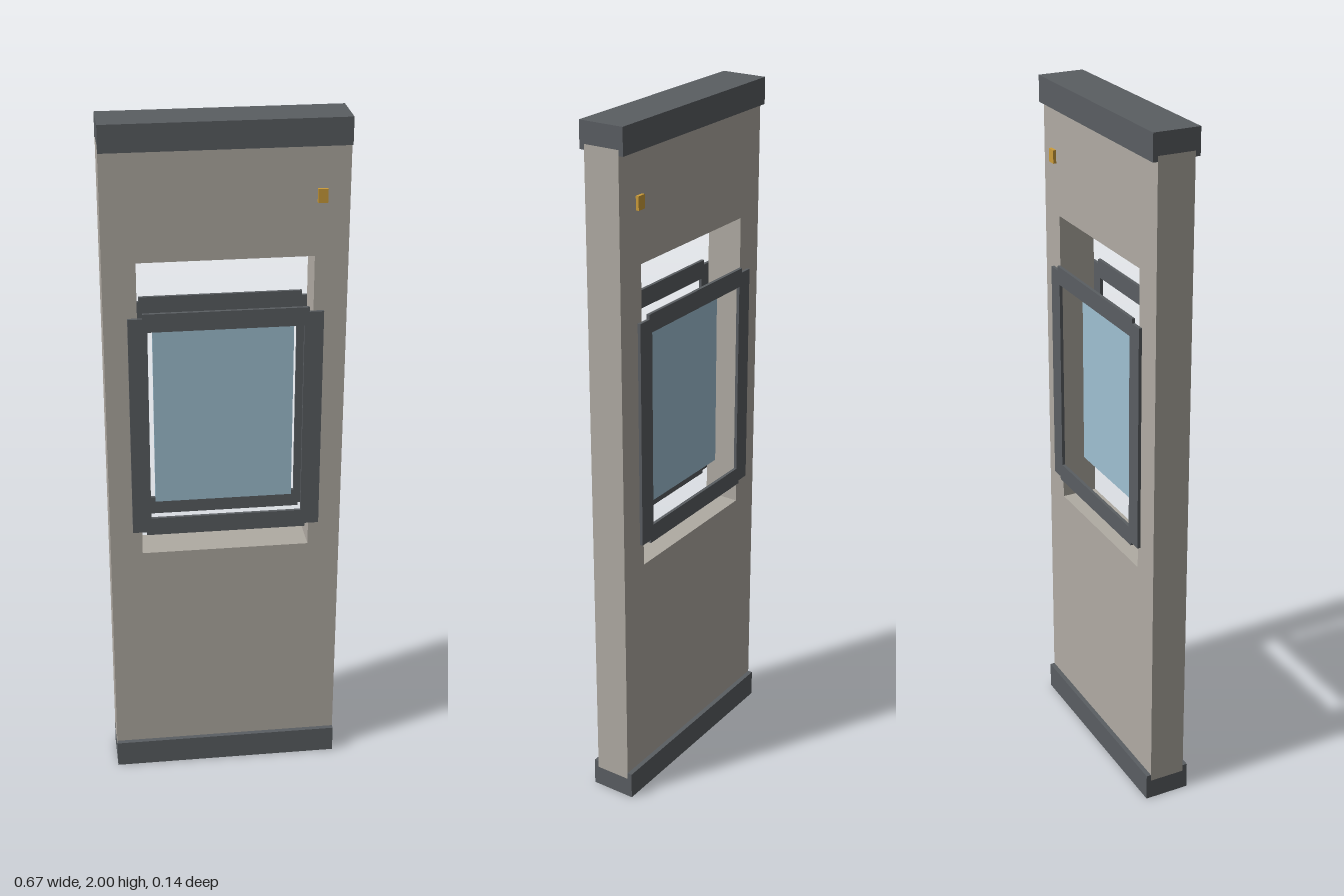
import * as THREE from 'three';

const material = (color) => new THREE.MeshStandardMaterial({ color });

// Rectangle given by its extents, as a shape or a hole
function rect(PathType, x0, x1, y0, y1) {
  return new PathType([[x0, y0], [x1, y0], [x1, y1], [x0, y1]].map(([x, y]) => new THREE.Vector2(x, y)));
}

export function createModel() {
  const model = new THREE.Group();
  const wallMat = material(0xb0aba3);
  const darkMat = material(0x5a5e62);
  const glassMat = material(0x9fc0d2);
  const brassMat = material(0xcc9c3a);

  const add = (name, geometry, mat, parent = model) => {
    const mesh = new THREE.Mesh(geometry, mat);
    mesh.name = name;
    parent.add(mesh);
    return mesh;
  };
  const box = (name, size, pos, mat, parent) =>
    add(name, new THREE.BoxGeometry(...size), mat, parent).position.set(...pos);

  // Wall panel with a rectangular window opening
  const panel = rect(THREE.Shape, -0.333, 0.333, 0.06, 1.94);
  panel.holes.push(rect(THREE.Path, -0.241, 0.241, 0.735, 1.62));
  const panelGeo = new THREE.ExtrudeGeometry(panel, { depth: 0.106, bevelEnabled: false });
  add('wallPanel', panelGeo.translate(0, 0, -0.053), wallMat);

  // Channel rails that wrap the bottom and top edges of the panel
  const channel = (name, outer, inner, lip) => {
    const points = [[-0.067, outer], [0.067, outer], [0.067, lip], [0.053, lip],
      [0.053, inner], [-0.053, inner], [-0.053, lip], [-0.067, lip]];
    const shape = new THREE.Shape(points.map(([z, y]) => new THREE.Vector2(z, y)));
    const geo = new THREE.ExtrudeGeometry(shape, { depth: 0.666, bevelEnabled: false });
    add(name, geo.translate(0, 0, -0.333).rotateY(Math.PI / 2), darkMat);
  };
  channel('bottomRail', 0, 0.06, 0.08);
  channel('topRail', 2, 1.94, 1.925);

  // Glass pane in the middle of the opening
  box('glassPane', [0.394, 0.533, 0.01], [0, 1.142, 0], glassMat);

  // Window trim and small brass plate on both faces
  for (const [side, s] of [['front', 1], ['back', -1]]) {
    const z = s * 0.064;
    const trim = new THREE.Group();
    trim.name = side + 'WindowTrim';
    model.add(trim);
    for (const [name, x] of [['leftTrim', 0.2415], ['rightTrim', -0.2415]]) {
      box(name, [0.053, 0.654, 0.009], [x, 1.139, z], darkMat, trim);
    }
    for (const [name, y] of [['topTrim', 1.453], ['bottomTrim', 0.829]]) {
      box(name, [0.456, 0.053, 0.009], [0, y, z], darkMat, trim);
    }
    box(side + 'Plate', [0.027, 0.038, 0.009], [0.257, 1.791, z], brassMat);
  }
  return model;
}
